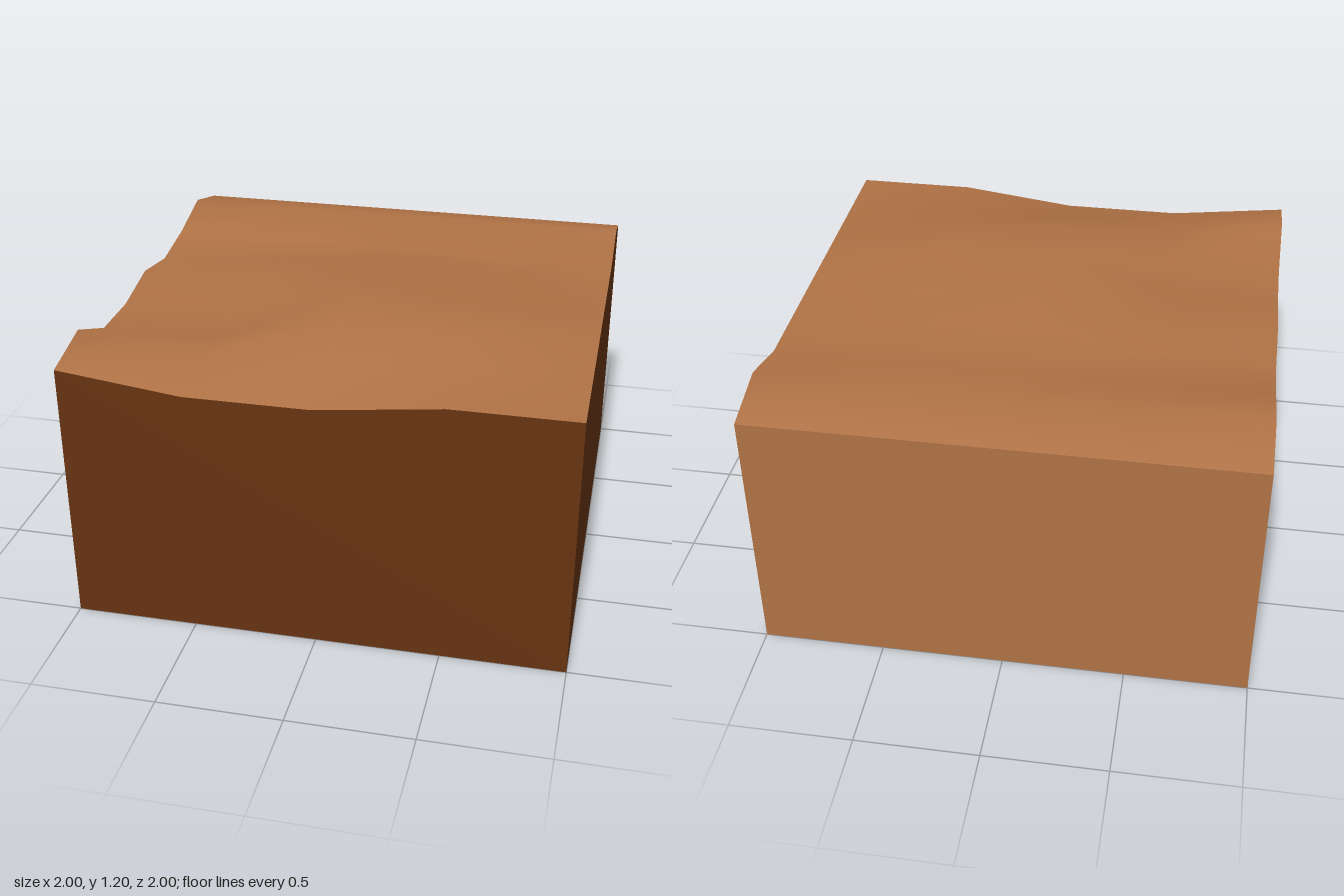
import * as THREE from 'three';

// Surface heights: rows run from back (z = -1) to front (z = 1), columns from x = -1 to x = 1
const HEIGHTS = [
  [1.10, 1.10, 1.10, 1.10, 1.10],
  [1.165, 1.165, 1.165, 1.165, 1.165],
  [1.10, 1.10, 1.10, 1.10, 1.10],
  [1.06, 1.10, 1.15, 1.13, 1.10],
  [1.10, 1.10, 1.17, 1.14, 1.10],
  [1.05, 1.10, 1.20, 1.17, 1.10],
  [1.05, 1.05, 1.20, 1.175, 1.10],
  [1.155, 1.10, 1.10, 1.13, 1.10],
  [1.10, 1.04, 1.04, 1.10, 1.10],
];

export function createModel() {
  const group = new THREE.Group();
  group.name = 'terrainBlock';

  const soil = new THREE.MeshStandardMaterial({ color: 0xb07245 });
  soil.name = 'light soil';
  const earth = new THREE.MeshStandardMaterial({ color: 0x663311 });
  earth.name = 'dark earth';

  const add = (name, geometry, material) => {
    const mesh = new THREE.Mesh(geometry, material);
    mesh.name = name;
    group.add(mesh);
  };

  // Rolling ground surface with smooth normals
  const ground = new THREE.PlaneGeometry(2, 2, 4, 8).rotateX(-Math.PI / 2);
  HEIGHTS.flat().forEach((h, i) => ground.attributes.position.setY(i, h));
  ground.computeVertexNormals();
  add('groundSurface', ground, soil);

  // Flat cut walls whose upper edge follows the ground
  const wall = (name, edge, angle, material) => {
    const shape = new THREE.Shape();
    shape.moveTo(-1, 0);
    shape.lineTo(1, 0);
    for (let i = edge.length - 1; i >= 0; i--) {
      shape.lineTo(-1 + (2 * i) / (edge.length - 1), edge[i]);
    }
    shape.closePath();
    add(name, new THREE.ShapeGeometry(shape).translate(0, 0, 1).rotateY(angle), material);
  };
  const column = (c) => HEIGHTS.map((row) => row[c]);
  wall('frontWall', HEIGHTS[8], 0, earth);
  wall('leftWall', column(4).reverse(), Math.PI / 2, earth);
  wall('backWall', [...HEIGHTS[0]].reverse(), Math.PI, soil);
  wall('rightWall', column(0), -Math.PI / 2, earth);

  // Underside
  add('underside', new THREE.PlaneGeometry(2, 2).rotateX(Math.PI / 2), earth);

  return group;
}
